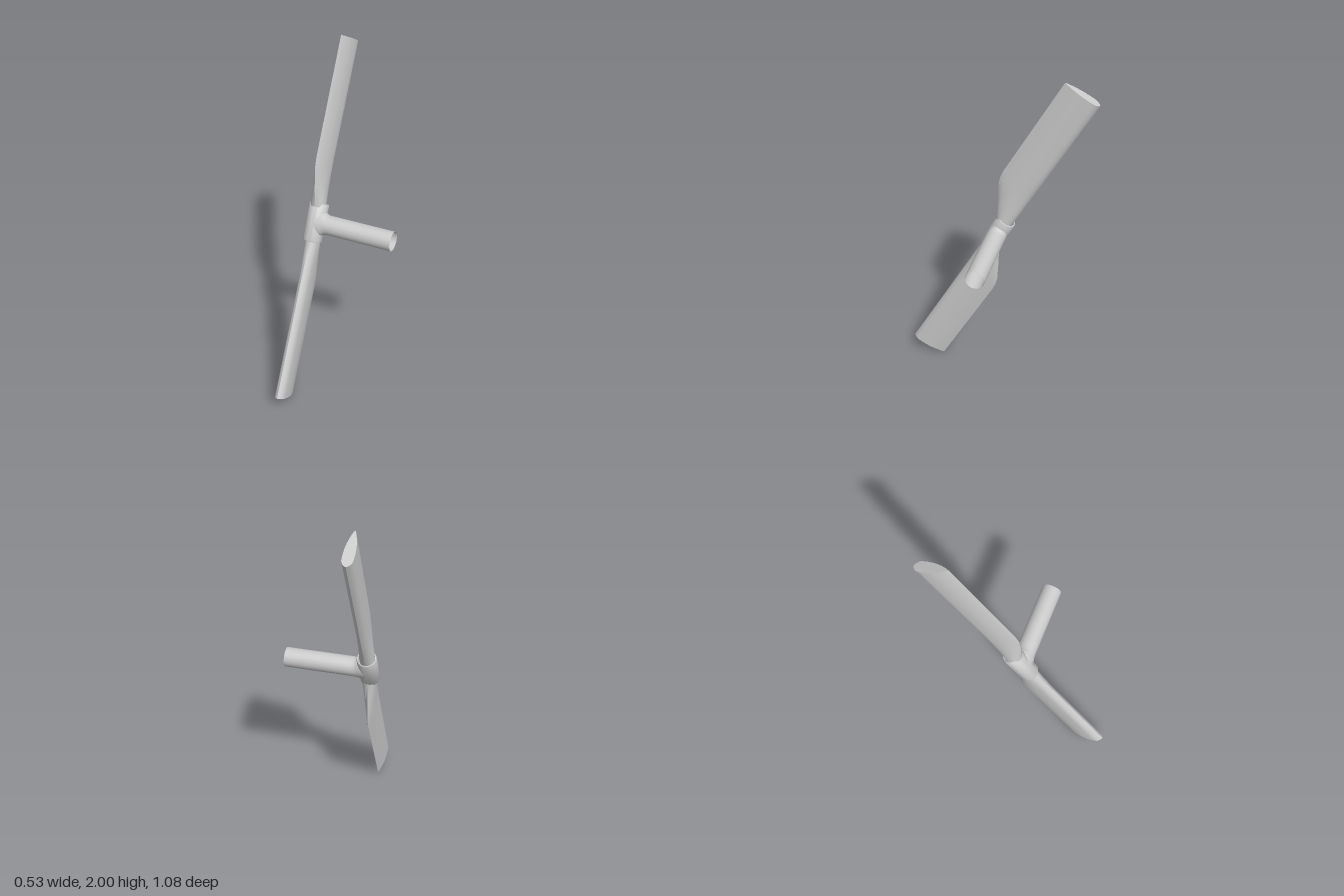
import * as THREE from 'three';
import { toCreasedNormals } from 'three/addons/utils/BufferGeometryUtils.js';

const HUB_X = -0.21;
const material = new THREE.MeshStandardMaterial({ color: 0xcccccc, side: THREE.DoubleSide });

function addMesh(parent, name, geometry) {
  const mesh = new THREE.Mesh(geometry, material);
  mesh.name = name;
  parent.add(mesh);
  return mesh;
}

// Blade lofted along y from a round root to a lens-shaped tip; the chord runs along z
function bladeGeometry() {
  const chord = [0, 0.03, 0.08, 0.15, 0.25, 0.37, 0.5, 0.62, 0.74, 0.84, 0.93, 1];
  const half = [0, 0.012, 0.022, 0.029, 0.03, 0.03, 0.0285, 0.025, 0.0195, 0.0135, 0.007, 0];
  // distance from hub, trailing edge, leading edge, roundness
  const stations = [
    [0.09, -0.042, 0.059, 1], [0.2, -0.041, 0.115, 0.45], [0.295, -0.04, 0.161, 0.12],
    [0.33, -0.04, 0.171, 0.05], [0.38, -0.04, 0.177, 0], [1.043, -0.04, 0.177, 0],
  ];
  const last = chord.length - 1;
  const ring = [];
  for (let i = 0; i <= last; i++) ring.push([i, 1]);
  for (let i = last - 1; i > 0; i--) ring.push([i, -1]);
  const n = ring.length;
  const pos = [], index = [];
  for (const [u, w0, w1, round] of stations) {
    for (const [i, side] of ring) {
      const s = chord[i];
      const ellipse = 0.043 * Math.sqrt(Math.max(0, 1 - (2 * s - 1) ** 2));
      pos.push(side * THREE.MathUtils.lerp(half[i], ellipse, round), u, w0 + (w1 - w0) * s);
    }
  }
  for (let k = 0; k < stations.length - 1; k++) {
    for (let j = 0; j < n; j++) {
      const a = k * n + j, b = k * n + (j + 1) % n;
      index.push(a, a + n, b, b, a + n, b + n);
    }
  }
  // end caps
  const tip = (stations.length - 1) * n;
  const rootCentre = pos.length / 3;
  pos.push(0, 0.09, 0.009, 0, 1.043, 0.068);
  for (let j = 0; j < n; j++) {
    const next = (j + 1) % n;
    index.push(rootCentre, j, next, rootCentre + 1, tip + next, tip + j);
  }
  const g = new THREE.BufferGeometry();
  g.setAttribute('position', new THREE.Float32BufferAttribute(pos, 3));
  g.setIndex(index);
  return toCreasedNormals(g, 0.6);
}

// Open tube along x, flared along the hub where it joins
function shaftGeometry() {
  const g = new THREE.CylinderGeometry(0.056, 0.056, 0.475, 48, 40, true);
  g.rotateZ(-Math.PI / 2);
  g.translate(0.0275, 0, 0);
  const p = g.attributes.position;
  for (let i = 0; i < p.count; i++) {
    const t = THREE.MathUtils.clamp((-0.128 - p.getX(i)) / 0.035, 0, 1);
    p.setY(i, p.getY(i) * (1 + 0.3 * t * t));
  }
  g.computeVertexNormals();
  return g;
}

export function createModel() {
  const model = new THREE.Group();
  model.name = 'propeller';

  const rotor = new THREE.Group();
  rotor.name = 'rotor';
  rotor.position.y = 1;
  rotor.rotation.x = THREE.MathUtils.degToRad(-29);
  model.add(rotor);

  // Sleeve that holds both blade roots
  const profile = [[0.046, -0.106], [0.048, -0.111], [0.052, -0.111], [0.056, -0.104],
    [0.056, 0.104], [0.052, 0.111], [0.048, 0.111], [0.046, 0.106], [0.046, -0.106]]
    .map(([r, y]) => new THREE.Vector2(r, y));
  const hub = addMesh(rotor, 'hub', toCreasedNormals(new THREE.LatheGeometry(profile, 48), 0.9));
  hub.position.x = HUB_X;

  addMesh(rotor, 'shaft', shaftGeometry());

  // Two opposite blades
  const blade = bladeGeometry();
  ['upperBlade', 'lowerBlade'].forEach((name, i) => {
    const mesh = addMesh(rotor, name, blade);
    mesh.position.x = HUB_X;
    mesh.rotation.x = i * Math.PI;
  });

  return model;
}
